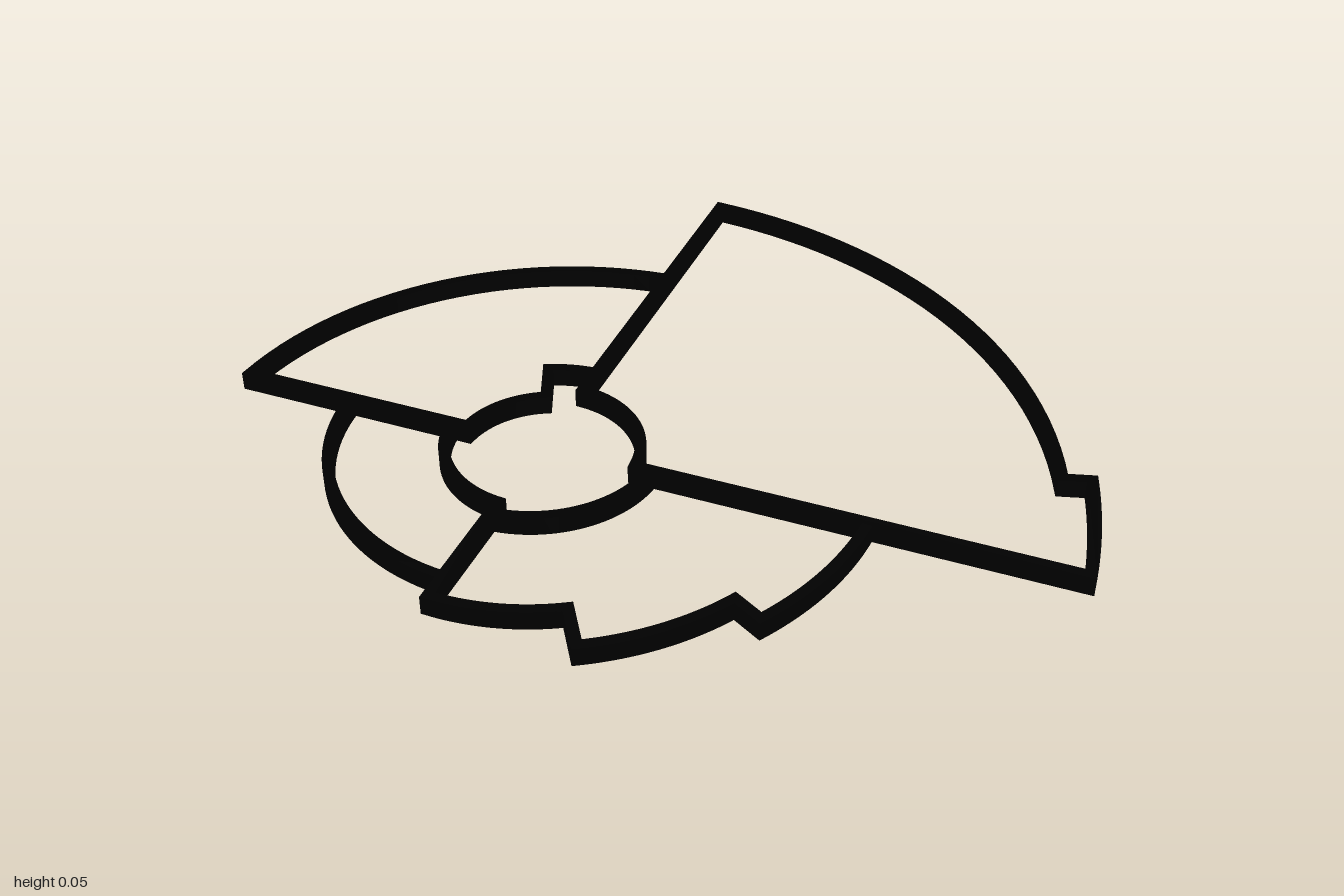
import * as THREE from 'three';

const WIDTH = 0.029, HEIGHT = 0.052;
const HUB_X = -0.345, HUB_Z = -0.03;

// Points after a on the circular arc from a through m to b
function arcPoints(a, m, b, n = 28) {
  const d = 2 * (a.x * (m.y - b.y) + m.x * (b.y - a.y) + b.x * (a.y - m.y));
  const A = a.lengthSq(), M = m.lengthSq(), B = b.lengthSq();
  const c = new THREE.Vector2(
    (A * (m.y - b.y) + M * (b.y - a.y) + B * (a.y - m.y)) / d,
    (A * (b.x - m.x) + M * (a.x - b.x) + B * (m.x - a.x)) / d);
  const r = c.distanceTo(a);
  const start = Math.atan2(a.y - c.y, a.x - c.x);
  let sweep = Math.atan2(b.y - c.y, b.x - c.x) - start;
  sweep = Math.atan2(Math.sin(sweep), Math.cos(sweep)); // every arc is under half a turn
  return Array.from({ length: n }, (_, i) => {
    const t = start + sweep * (i + 1) / n;
    return new THREE.Vector2(c.x + r * Math.cos(t), c.y + r * Math.sin(t));
  });
}

// Steps are [x, z] for a straight run, or [midX, midZ, x, z] for an arc
function tracePath(steps) {
  const pts = [];
  for (const s of steps) {
    const end = new THREE.Vector2(s.at(-2), -s.at(-1));
    if (s.length === 2) pts.push(end);
    else pts.push(...arcPoints(pts.at(-1), new THREE.Vector2(s[0], -s[1]), end));
  }
  return pts;
}

// Offset a path sideways with mitred corners
function offsetPath(pts, dist, closed) {
  const n = pts.length;
  return pts.map((p, i) => {
    const prev = closed ? pts[(i + n - 1) % n] : pts[Math.max(i - 1, 0)];
    const next = closed ? pts[(i + 1) % n] : pts[Math.min(i + 1, n - 1)];
    let d1 = p.clone().sub(prev).normalize(), d2 = next.clone().sub(p).normalize();
    if (prev === p) d1 = d2;
    if (next === p) d2 = d1;
    const n1 = new THREE.Vector2(-d1.y, d1.x), n2 = new THREE.Vector2(-d2.y, d2.x);
    const miter = n1.clone().add(n2).normalize();
    return p.clone().addScaledVector(miter, dist / Math.max(miter.dot(n1), 0.35));
  });
}

// A flat strip following the path, raised to the common height
function strip(name, steps, material, closed = false) {
  const pts = tracePath(steps);
  if (closed) pts.pop(); // last arc returns to the start
  const left = offsetPath(pts, WIDTH / 2, closed);
  const right = offsetPath(pts, -WIDTH / 2, closed).reverse();
  let shape;
  if (closed) {
    // clockwise path: left side is the outside, the hole winds the other way
    shape = new THREE.Shape(left);
    shape.holes.push(new THREE.Path(right));
  } else {
    shape = new THREE.Shape([...left, ...right]);
  }
  const geo = new THREE.ExtrudeGeometry(shape, { depth: HEIGHT, bevelEnabled: false });
  geo.rotateX(-Math.PI / 2);
  const mesh = new THREE.Mesh(geo, material);
  mesh.name = name;
  return mesh;
}

export function createModel() {
  const group = new THREE.Group();
  group.name = 'sectorOutline';
  const black = new THREE.MeshStandardMaterial({ color: 0x000000 });

  // Large right sector, closed, with a step near the front of its rim
  group.add(strip('rightSector', [
    [0.185, -0.18], [0.953, -0.948], [1.315, 0, 1.157, 0.667],
    [1.222, 0.703], [1.124, 0.86, 1.009, 1.01],
    [0.185, 0.187], [0.256, 0, 0.185, -0.18],
  ], black, true));

  // Back sector with a small tab beside the hub
  group.add(strip('backSector', [
    [0.624, -0.622], [0, -0.852, -0.62, -0.62], [-0.15, -0.15],
    [0, -0.206, 0.085, -0.193], [0.137, -0.314], [0.195, -0.286, 0.248, -0.246],
  ], black));

  // Front sector with a stepped rim, running on into the left hub arc
  group.add(strip('frontSector', [
    [0.624, 0.626], [0.439, 0.755, 0.227, 0.835], [0.203, 0.748],
    [0, 0.774, -0.192, 0.748], [-0.164, 0.622], [-0.322, 0.556, -0.449, 0.454],
    [-0.182, 0.187], [-0.251, 0, -0.182, -0.18],
  ], black));

  // Arcs that end against the spokes
  group.add(strip('frontHubArc', [[0.217, 0.219], [0, 0.299, -0.214, 0.219]], black));
  group.add(strip('leftRim', [[-0.396, -0.394], [-0.547, 0, -0.396, 0.4]], black));

  group.position.set(HUB_X, 0, HUB_Z);
  const model = new THREE.Group();
  model.add(group);
  return model;
}
